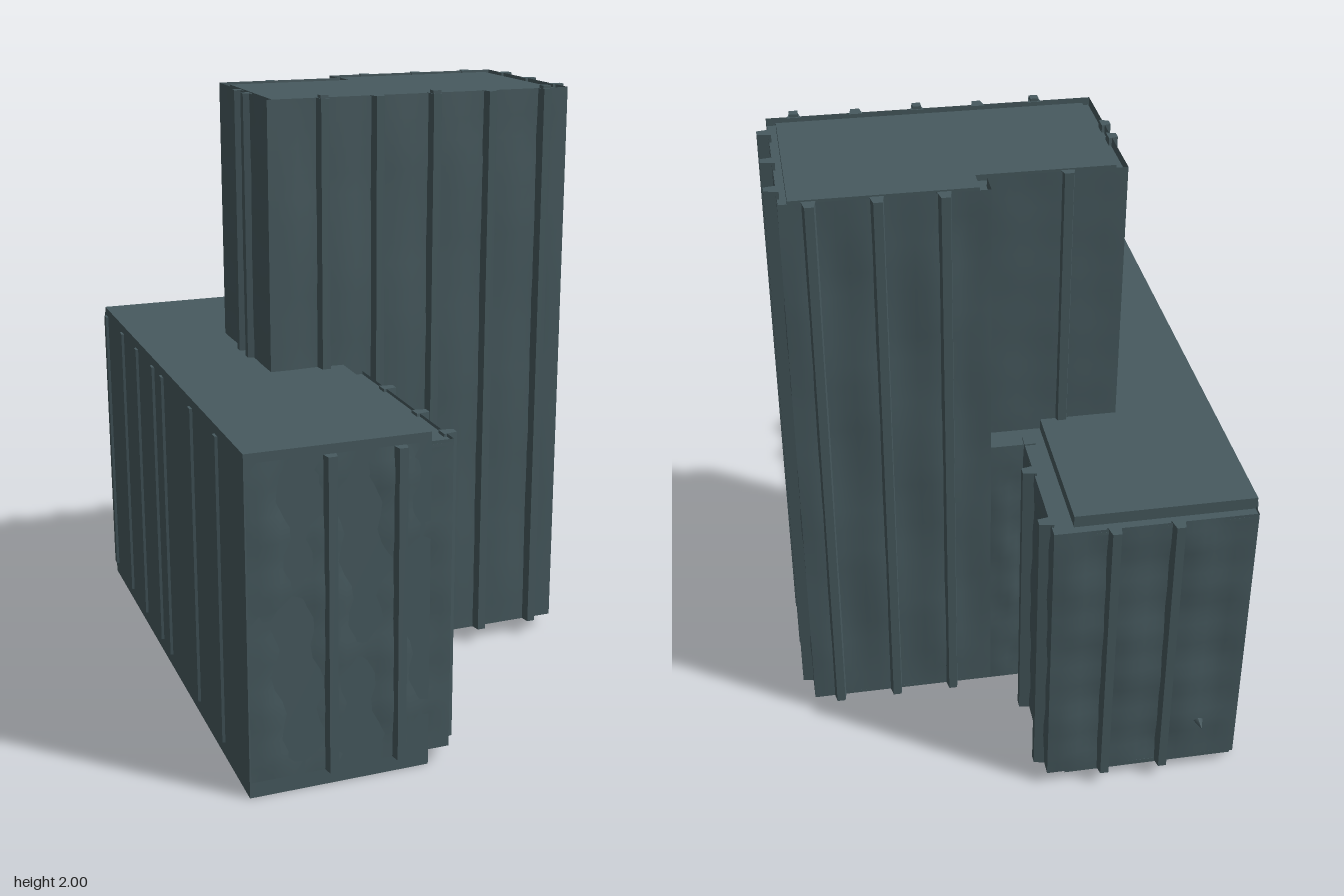
import * as THREE from 'three';

const steel = new THREE.MeshStandardMaterial({ color: 0x475a5f, side: THREE.DoubleSide });
steel.name = 'slate grey';

// Solid box from its limits
function block(name, x0, x1, y0, y1, z0, z1) {
  const mesh = new THREE.Mesh(new THREE.BoxGeometry(x1 - x0, y1 - y0, z1 - z0), steel);
  mesh.position.set((x0 + x1) / 2, (y0 + y1) / 2, (z0 + z1) / 2);
  mesh.name = name;
  return mesh;
}

// Horizontal slab from a plan outline of [x, z] points
function slab(name, outline, y0, y1) {
  const shape = new THREE.Shape(outline.map(([x, z]) => new THREE.Vector2(x, -z)));
  const geo = new THREE.ExtrudeGeometry(shape, { depth: y1 - y0, bevelEnabled: false });
  geo.rotateX(-Math.PI / 2);
  const mesh = new THREE.Mesh(geo, steel);
  mesh.position.y = y0;
  mesh.name = name;
  return mesh;
}

// Tapered rib: trapezoid section standing on the wall
function rib(height, depth) {
  const w = 0.022, t = 0.014;
  const shape = new THREE.Shape([
    new THREE.Vector2(-w, -0.01), new THREE.Vector2(w, -0.01),
    new THREE.Vector2(t, depth), new THREE.Vector2(-t, depth),
  ]);
  const geo = new THREE.ExtrudeGeometry(shape, { depth: height, bevelEnabled: false });
  // section (x, depth) onto (x, z), length along y
  geo.rotateX(-Math.PI / 2);
  geo.scale(1, 1, -1);
  const index = [];
  for (let i = 0; i < geo.attributes.position.count; i += 3) index.push(i, i + 2, i + 1);
  geo.setIndex(index);
  geo.computeVertexNormals();
  return new THREE.Mesh(geo, steel);
}

// Gently buckled sheet wall from plan point a to b, outside on the right-hand side
function wall(name, a, b, y0, y1, ribs = [], depth = 0.035, buckle = 0.007) {
  const group = new THREE.Group();
  group.name = name;
  const dx = b[0] - a[0], dz = b[1] - a[1];
  const length = Math.hypot(dx, dz), height = y1 - y0;
  const geo = new THREE.PlaneGeometry(length, height, Math.max(4, Math.round(length * 30)), 24);
  const p = geo.attributes.position;
  for (let i = 0; i < p.count; i++) {
    const u = p.getX(i) / length + 0.5, v = p.getY(i) / height + 0.5;
    const edge = Math.min(1, 12 * Math.min(u, 1 - u)) * Math.min(1, 12 * Math.min(v, 1 - v));
    const wave = Math.sin(u * length * 31) * 0.6 + Math.sin(v * height * 33 + u * 3) * 0.3
      + Math.sin(v * height * 9 + u * 8) * 0.4;
    p.setZ(i, wave * buckle * edge);
  }
  geo.computeVertexNormals();
  const sheet = new THREE.Mesh(geo, steel);
  sheet.name = name + 'Sheet';
  sheet.position.y = (y0 + y1) / 2;
  group.add(sheet);

  const k = Math.abs(dx) > Math.abs(dz) ? 0 : 1;
  for (const c of ribs) {
    const r = rib(height, depth);
    r.name = name + 'Rib';
    r.position.set(((c - a[k]) / (b[k] - a[k]) - 0.5) * length, y0, 0);
    group.add(r);
  }
  group.position.set((a[0] + b[0]) / 2, 0, (a[1] + b[1]) / 2);
  group.rotation.y = Math.atan2(-dz, dx);
  return group;
}

function lowWing() {
  const g = new THREE.Group();
  g.name = 'lowWing';
  const L = -0.705, R = -0.06, F = 0.95, B = -0.93, y0 = 0.05, y1 = 1.065;
  g.add(
    block('wingCore', -0.71, -0.13, 0, 1.095, -0.89, 0.95),
    block('wingFloor', L, R, 0.05, 0.06, B, F),
    block('wingLidRear', L, R, 1.045, 1.055, B, -0.3),
    block('wingLidFront', L, R, 1.045, 1.055, 0.1, F),
    wall('wingFront', [L, F], [R, F], y0, y1, [-0.45, -0.23], 0.03),
    wall('wingBack', [R, B], [L, B], y0, y1, [-0.25, -0.45], 0.03),
    wall('wingOuterSide', [L, B], [L, F], y0, y1,
      [-0.86, -0.59, -0.36, -0.12, 0.01, 0.38, 0.67], 0.014, 0.002),
    wall('wingInnerRear', [R, -0.4], [R, B], y0, y1, [-0.59, -0.86]),
    // Front part of the inner side, with a torn opening beside the tower
    wall('wingInnerFront', [R, F], [R, 0.38], y0, y1, [0.88, 0.67, 0.39]),
    wall('wingBelowOpening', [R, 0.38], [R, 0.15], y0, 0.62),
    wall('wingAboveOpening', [R, 0.38], [R, 0.15], 0.78, y1),
  );
  // Loose shard on the back wall
  const shard = new THREE.Mesh(new THREE.ConeGeometry(0.025, 0.07, 4), steel);
  shard.name = 'tornShard';
  shard.rotation.x = -Math.PI / 2;
  shard.scale.z = 0.4;
  shard.position.set(-0.57, 0.22, -0.945);
  g.add(shard);
  return g;
}

function tower() {
  const g = new THREE.Group();
  g.name = 'tower';
  const L = -0.385, R = 0.68, F = 0.19, B = -0.44, N = -0.355, S = 0.05;
  const y0 = 0.05, y1 = 1.99, step = 1.06;
  const plan = (i) => [
    [L + i, F - i], [R - i, F - i], [R - i, B + i], [S + i, B + i], [S + i, N + i], [L + i, N + i],
  ];
  g.add(
    block('towerFloor', -0.1, R, 0.05, 0.06, B, F),
    block('ledge', -0.1, S, step - 0.01, step, B, N),
    slab('roofRim', plan(0.003), 1.955, 1.965),
    slab('roof', plan(0.03), 1.94, 1.985),
    wall('towerFront', [L, F], [R, F], y0, y1, [-0.2, -0.01, 0.19, 0.39, 0.59], 0.032, 0.004),
    wall('towerRightEnd', [R, F], [R, B], y0, y1, [0.08, -0.13, -0.33]),
    wall('towerBack', [R, B], [S, B], y0, y1, [0.59, 0.39, 0.19], 0.032),
    wall('towerBackLower', [S, B], [-0.1, B], y0, step),
    // Notch in the rear corner
    wall('notchSide', [S, B], [S, N], step, y1, [], 0, 0),
    wall('notchBack', [S, N], [L, N], step, y1, [-0.2], 0.015, 0.002),
    wall('towerLeftEnd', [L, N], [L, F], step, y1, [-0.12, -0.02], 0.02, 0.002),
  );
  // Ragged rib tips rising just above the roof
  for (const x of [-0.2, 0.19, 0.59]) g.add(block('ribTip', x - 0.014, x + 0.014, 1.97, 2, F - 0.005, F + 0.025));
  return g;
}

export function createModel() {
  const model = new THREE.Group();
  model.name = 'ribbedBuilding';
  model.add(lowWing(), tower());
  return model;
}
